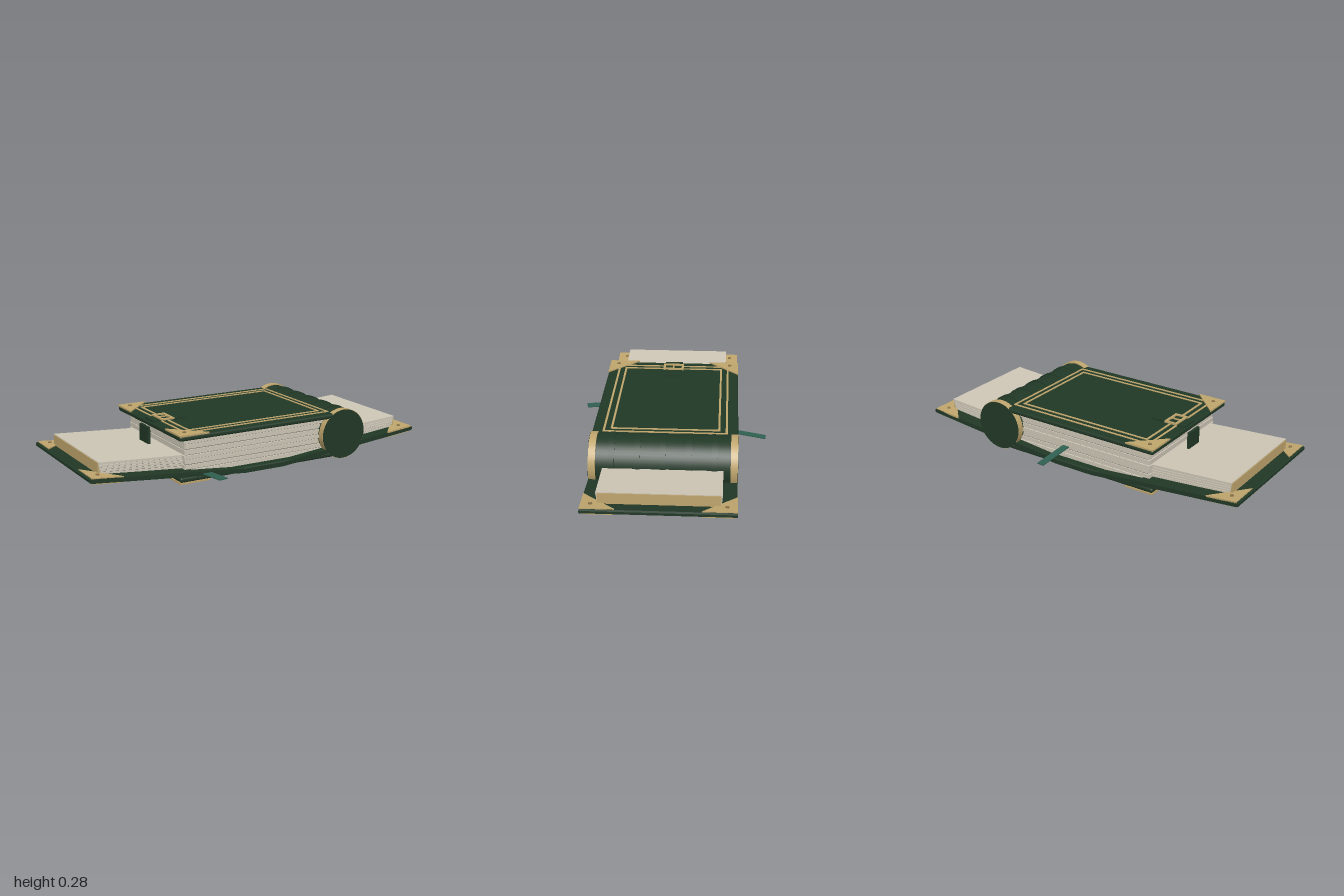
import * as THREE from 'three';
import { RoundedBoxGeometry } from 'three/addons/geometries/RoundedBoxGeometry.js';

const mat = (name, color) => {
  const m = new THREE.MeshStandardMaterial({ color });
  m.name = name;
  return m;
};

export function createModel() {
  const leather = mat('green leather', 0x213826);
  const gold = mat('gold', 0xbfa56d);
  const paper = mat('paper', 0xcdc6b6);
  const shade = mat('page gap', 0x77726a);
  const stud = mat('dark brass', 0x8a744a);
  const silk = mat('teal ribbon', 0x2f5f50);

  const model = new THREE.Group();
  const body = new THREE.Group();
  body.name = 'books';
  body.position.z = 0.008;
  model.add(body);

  const add = (parent, name, geo, m, x = 0, y = 0, z = 0) => {
    const mesh = new THREE.Mesh(geo, m);
    mesh.name = name;
    mesh.position.set(x, y, z);
    parent.add(mesh);
    return mesh;
  };
  const box = (parent, name, m, sx, sy, sz, x, y, z) =>
    add(parent, name, new THREE.BoxGeometry(sx, sy, sz), m, x, y, z);
  // Profile in x and y, extended along z to both sides
  const slab = (parent, name, m, pts, half) => {
    const shape = new THREE.Shape(pts.map(p => new THREE.Vector2(p[0], p[1])));
    const geo = new THREE.ExtrudeGeometry(shape, { depth: half * 2, bevelEnabled: false });
    return add(parent, name, geo, m, 0, 0, -half);
  };
  // Thin rectangular outline lying flat
  const frame = (parent, name, x0, x1, hz, w, h, y) => {
    for (const s of [-1, 1]) {
      box(parent, name, gold, x1 - x0, h, w, (x0 + x1) / 2, y, s * (hz - w / 2));
      box(parent, name, gold, w, h, hz * 2, s > 0 ? x1 - w / 2 : x0 + w / 2, y, 0);
    }
  };
  // Triangular corner plate; sx and sz point inward from the corner
  const corner = (parent, x, y, z, sx, sz, leg = 0.17, withStud = true) => {
    const pts = [[0, 0], [sx * leg, 0], [0, -sz * leg]].map(p => new THREE.Vector2(...p));
    const geo = new THREE.ExtrudeGeometry(new THREE.Shape(pts), { depth: 0.009, bevelEnabled: false });
    geo.rotateX(-Math.PI / 2);
    add(parent, 'cornerPlate', geo, gold, x, y, z);
    if (withStud) {
      add(parent, 'cornerStud', new THREE.CylinderGeometry(0.01, 0.01, 0.005, 12), stud,
        x + sx * 0.05, y + 0.011, z + sz * 0.05);
    }
  };

  const HALF = 0.38;

  // Open book: bent cover and two halves
  const slope = 0.082 / 0.88;
  slab(body, 'openCover', leather, [
    [-0.99, 0.1], [-0.12, 0.018], [0.12, 0.018], [0.99, 0.1], [1, 0.106], [1, 0.119],
    [0.99, 0.124], [0.12, 0.042], [-0.12, 0.042], [-0.99, 0.124], [-1, 0.119], [-1, 0.106],
  ], HALF);

  for (const side of [0, 1]) {
    const wing = new THREE.Group();
    wing.name = side ? 'openHalfRight' : 'openHalfLeft';
    wing.rotation.y = side * Math.PI;
    body.add(wing);

    // Fanned page layers with dark gaps between them
    const n = 5;
    const inner = t => 0.045 + t * 0.08;
    const outer = t => 0.115 + t * 0.063;
    slab(wing, 'pageGaps', shade, [
      [0.1, inner(0)], [0.905, outer(0)], [0.905, outer(0.96)], [0.1, inner(0.96)],
    ], 0.299);
    for (let i = 0; i < n; i++) {
      const a = i / n, b = (i + 0.78) / n, end = 0.908 + i * 0.003;
      const top = i === n - 1 ? 1 : b;
      slab(wing, 'openPages', paper, [
        [0.1, inner(a)], [end, outer(a)], [end, outer(top)], [0.1, inner(top)],
      ], 0.303 + i * 0.001);
    }
    box(wing, 'giltForeEdge', gold, 0.01, 0.058, 0.6, 0.919, 0.146, 0);

    // Corner plates above, edge strips below
    const board = new THREE.Group();
    board.name = 'boardFittings';
    board.position.set(0.12, 0.042, 0);
    board.rotation.z = Math.atan(slope);
    wing.add(board);
    for (const s of [-1, 1]) {
      corner(board, 0.872, -0.003, s * HALF, -1, -s);
      box(board, 'undersideTrim', gold, 0.01, 0.008, 0.16, 0.86, -0.026, s * (HALF - 0.09));
      box(board, 'undersideTrim', gold, 0.16, 0.008, 0.01, 0.785, -0.026, s * (HALF - 0.015));
    }
  }

  // Closed book: boards
  const boardGeo = new RoundedBoxGeometry(1.01, 0.026, HALF * 2, 2, 0.01);
  add(body, 'topBoard', boardGeo, leather, 0, 0.253, 0);
  add(body, 'bottomBoard', boardGeo, leather, 0, 0.035, 0);
  frame(body, 'topOuterLine', -0.45, 0.444, 0.325, 0.011, 0.006, 0.267);
  frame(body, 'topInnerLine', -0.412, 0.408, 0.286, 0.011, 0.006, 0.267);
  frame(body, 'bottomLine', -0.45, 0.3, 0.325, 0.011, 0.005, 0.022);
  for (const s of [-1, 1]) {
    corner(body, -0.506, 0.264, s * HALF, 1, -s);
    corner(body, -0.506, 0.014, s * HALF, 1, -s, 0.17, false);
  }

  // Closed book: page block in uneven layers
  box(body, 'blockGaps', shade, 0.88, 0.196, 0.65, -0.01, 0.144, 0);
  const cuts = [0.046, 0.072, 0.098, 0.126, 0.15, 0.18, 0.21, 0.24];
  for (let i = 0; i < cuts.length - 1; i++) {
    const h = cuts[i + 1] - cuts[i] - 0.004;
    const jog = (i % 3) * 0.003;
    box(body, 'blockPages', paper, 0.91 - jog, h, 0.668 - jog * 2,
      -0.005 + jog / 2, (cuts[i] + cuts[i + 1]) / 2, 0);
  }

  // Round spine with raised bands and gold end rings
  const spine = new THREE.Group();
  spine.name = 'spine';
  spine.position.set(0.51, 0.145, 0);
  body.add(spine);
  const drum = (name, r, len, z, m) => {
    const geo = new THREE.CylinderGeometry(r, r, len, 48).rotateX(Math.PI / 2);
    add(spine, name, geo, m, 0, 0, z);
  };
  drum('spineBody', 0.134, 0.75, 0, leather);
  for (let i = -2; i <= 2; i++) drum('spineBand', 0.139, 0.03, i * 0.131, leather);
  for (const s of [-1, 1]) {
    drum('spineRing', 0.14, 0.036, s * 0.361, gold);
    drum('spineCap', 0.138, 0.004, s * 0.379, leather);
  }

  // Strap and buckle
  box(body, 'strapDrop', leather, 0.014, 0.21, 0.105, -0.522, 0.14, 0);
  box(body, 'strapTop', leather, 0.2, 0.008, 0.1, -0.395, 0.27, 0);
  frame(body, 'buckle', -0.451, -0.375, 0.06, 0.013, 0.01, 0.277);
  box(body, 'buckleProng', gold, 0.066, 0.006, 0.008, -0.413, 0.279, 0);

  // Ribbon bookmarks, as short strips from a start to an end point
  const ribbon = (name, a, b, w) => {
    const from = new THREE.Vector3(...a), to = new THREE.Vector3(...b);
    const mesh = box(model, name, silk, w, 0.005, from.distanceTo(to), 0, 0, 0);
    mesh.position.copy(from).add(to).multiplyScalar(0.5);
    mesh.lookAt(to);
  };
  ribbon('frontRibbon', [-0.378, 0.053, 0.25], [-0.326, 0.053, 0.518], 0.052);
  ribbon('backRibbon', [0.075, 0.125, -0.22], [0.099, 0.084, -0.528], 0.042);

  return model;
}
